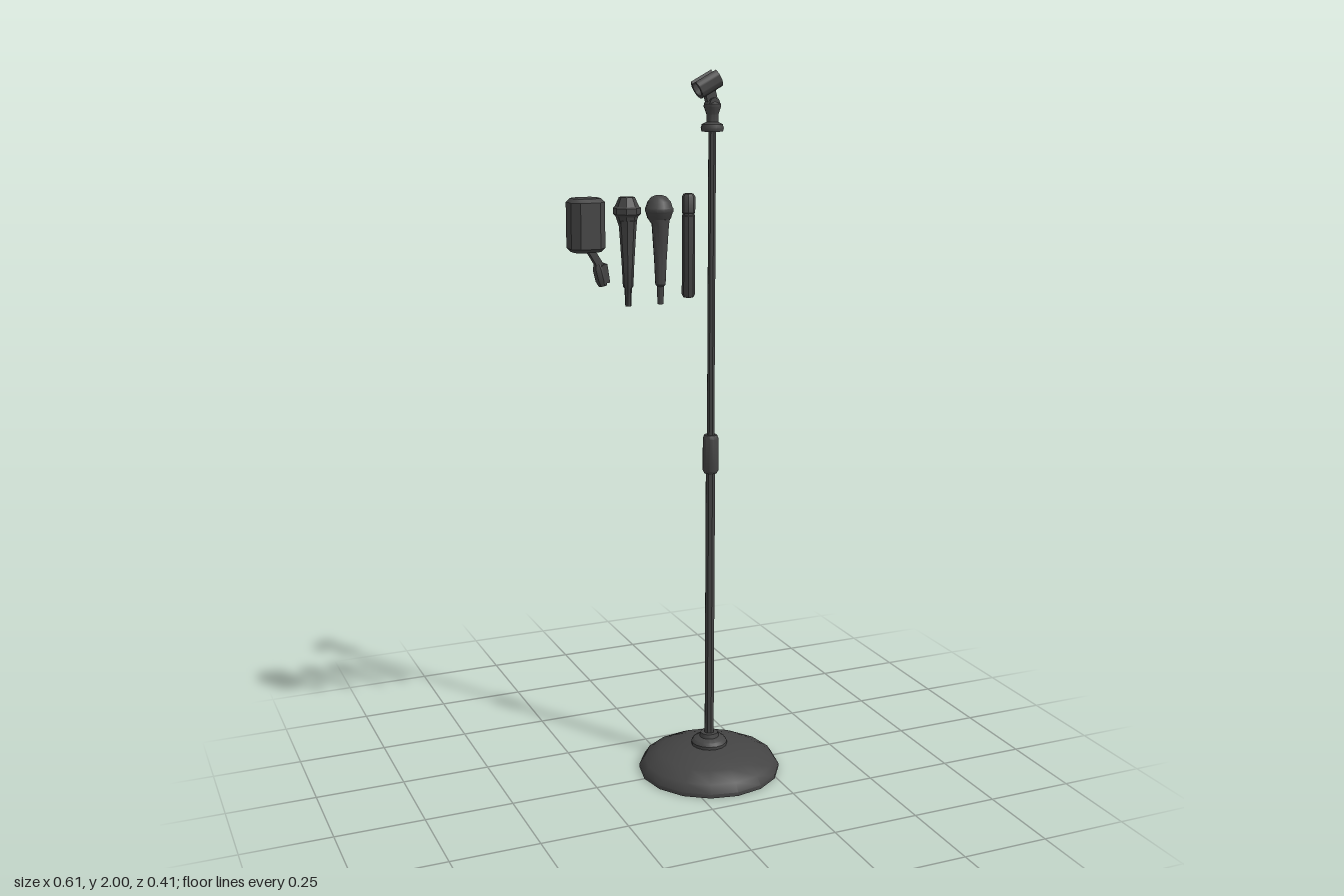
import * as THREE from 'three';
import { toCreasedNormals } from 'three/addons/utils/BufferGeometryUtils.js';

const material = new THREE.MeshStandardMaterial({ color: 0x444444 });

function addMesh(parent, name, geometry, x = 0, y = 0, z = 0, crease = 0.6) {
  const mesh = new THREE.Mesh(toCreasedNormals(geometry, crease), material);
  mesh.name = name;
  mesh.position.set(x, y, z);
  parent.add(mesh);
  return mesh;
}

// Turned part from [radius, height] pairs, listed from bottom to top
function turned(profile, sides, turn = 0) {
  const points = profile.map(([r, y]) => new THREE.Vector2(r, y));
  return new THREE.LatheGeometry(points, sides).rotateY(turn);
}

// Rounded-top C outline, open towards +y
function clipShape(outer, inner, gap) {
  const shape = new THREE.Shape();
  const start = Math.PI / 2 + gap, end = Math.PI * 2.5 - gap;
  shape.absarc(0, 0, outer, start, end, false);
  shape.absarc(0, 0, inner, end, start, true);
  shape.closePath();
  return shape;
}

function createStand() {
  const stand = new THREE.Group();
  stand.name = 'stand';
  stand.position.x = 0.1;

  // Domed foot and its collar
  addMesh(stand, 'base', turned([
    [0, 0], [0.204, 0], [0.204, 0.011], [0.189, 0.034], [0.145, 0.056], [0.09, 0.072], [0, 0.082],
  ], 16));
  addMesh(stand, 'baseCollar', turned([
    [0.052, 0.07], [0.052, 0.085], [0.045, 0.094], [0.028, 0.1], [0.025, 0.112], [0, 0.112],
  ], 16));

  // Telescopic pole
  addMesh(stand, 'lowerPole', new THREE.CylinderGeometry(0.014, 0.014, 0.83, 8), 0, 0.505);
  addMesh(stand, 'poleSleeve', turned([
    [0, 0.895], [0.018, 0.895], [0.022, 0.903], [0.022, 0.995], [0.018, 1.005], [0, 1.005],
  ], 12));
  addMesh(stand, 'upperPole', new THREE.CylinderGeometry(0.011, 0.011, 0.86, 8), 0, 1.425);

  // Threaded adapter under the clip
  addMesh(stand, 'clipAdapter', turned([
    [0, 1.836], [0.029, 1.836], [0.031, 1.845], [0.028, 1.855], [0.016, 1.861],
    [0.016, 1.88], [0.023, 1.9], [0.023, 1.908], [0.014, 1.918], [0, 1.918],
  ], 12));

  // Swivel joint
  addMesh(stand, 'swivelBlock', new THREE.BoxGeometry(0.03, 0.055, 0.018), -0.004, 1.92).rotation.z = 0.25;
  addMesh(stand, 'swivelBolt', new THREE.CylinderGeometry(0.015, 0.015, 0.036, 8).rotateX(Math.PI / 2), 0, 1.91);

  // Open holder, tilted upwards
  const holder = new THREE.ExtrudeGeometry(clipShape(0.027, 0.019, 0.6), {
    depth: 0.066, bevelEnabled: false, curveSegments: 14,
  }).translate(0, 0, -0.033).rotateY(Math.PI / 2);
  addMesh(stand, 'holderClip', holder, -0.016, 1.961).rotation.z = 0.49;
  return stand;
}

function createHandle(parent, turn, sides) {
  addMesh(parent, 'handle', turned([
    [0, 1.382], [0.008, 1.382], [0.01, 1.43], [0.014, 1.435], [0.017, 1.5],
    [0.023, 1.59], [0.025, 1.61], [0, 1.61],
  ], sides, turn));
}

function createRoundMicrophone() {
  const mic = new THREE.Group();
  mic.name = 'roundMicrophone';
  mic.position.x = -0.05;
  createHandle(mic, 0, 12);
  addMesh(mic, 'ballGrille', turned([
    [0.022, 1.598], [0.032, 1.612], [0.036, 1.626], [0.038, 1.629], [0.038, 1.638],
    [0.036, 1.641], [0.031, 1.656], [0.02, 1.668], [0.009, 1.672], [0, 1.673],
  ], 12), 0, 0, -0.008, 0.75);
  return mic;
}

function createFacetedMicrophone() {
  const mic = new THREE.Group();
  mic.name = 'facetedMicrophone';
  mic.position.x = -0.143;
  createHandle(mic, Math.PI / 8, 8);
  addMesh(mic, 'facetedGrille', turned([
    [0.022, 1.596], [0.03, 1.62], [0.037, 1.627], [0.037, 1.643], [0.032, 1.647],
    [0.021, 1.671], [0, 1.671],
  ], 8, Math.PI / 8), 0, 0, -0.005, 0.4);
  return mic;
}

function createBodyPack() {
  const pack = new THREE.Group();
  pack.name = 'bodyPack';
  // Chamfered case
  const [w, d, c] = [0.037, 0.03, 0.014];
  const outline = new THREE.Shape([
    [w, -d + c], [w, d - c], [w - c, d], [-w + c, d],
    [-w, d - c], [-w, -d + c], [-w + c, -d], [w - c, -d],
  ].map(([x, y]) => new THREE.Vector2(x, y)));
  const body = new THREE.ExtrudeGeometry(outline, {
    depth: 0.12, bevelThickness: 0.01, bevelSize: 0.01, bevelSegments: 1,
  }).rotateX(-Math.PI / 2);
  addMesh(pack, 'case', body, -0.26, 1.543, -0.002);

  // Small clip-on microphone hanging below
  addMesh(pack, 'clipArm', new THREE.BoxGeometry(0.018, 0.065, 0.022), -0.234, 1.512).rotation.z = 0.55;
  addMesh(pack, 'clipJaw', new THREE.BoxGeometry(0.016, 0.05, 0.03), -0.211, 1.474).rotation.z = 0.15;
  addMesh(pack, 'clipMicrophone', turned([
    [0, -0.036], [0.012, -0.036], [0.017, -0.02], [0.017, 0.012], [0.011, 0.026], [0, 0.026],
  ], 8), -0.223, 1.476, 0, 0.4).rotation.z = 0.25;
  return pack;
}

export function createModel() {
  const model = new THREE.Group();
  model.name = 'microphoneStandSet';
  model.add(createStand(), createRoundMicrophone(), createFacetedMicrophone(), createBodyPack());

  // Slim straight microphone
  addMesh(model, 'slimMicrophone', turned([
    [0, 1.395], [0.014, 1.395], [0.018, 1.403], [0.018, 1.615], [0.016, 1.617],
    [0.016, 1.622], [0.018, 1.624], [0.018, 1.666], [0.013, 1.674], [0, 1.674],
  ], 8, Math.PI / 8), 0.033, 0, -0.003);
  return model;
}
